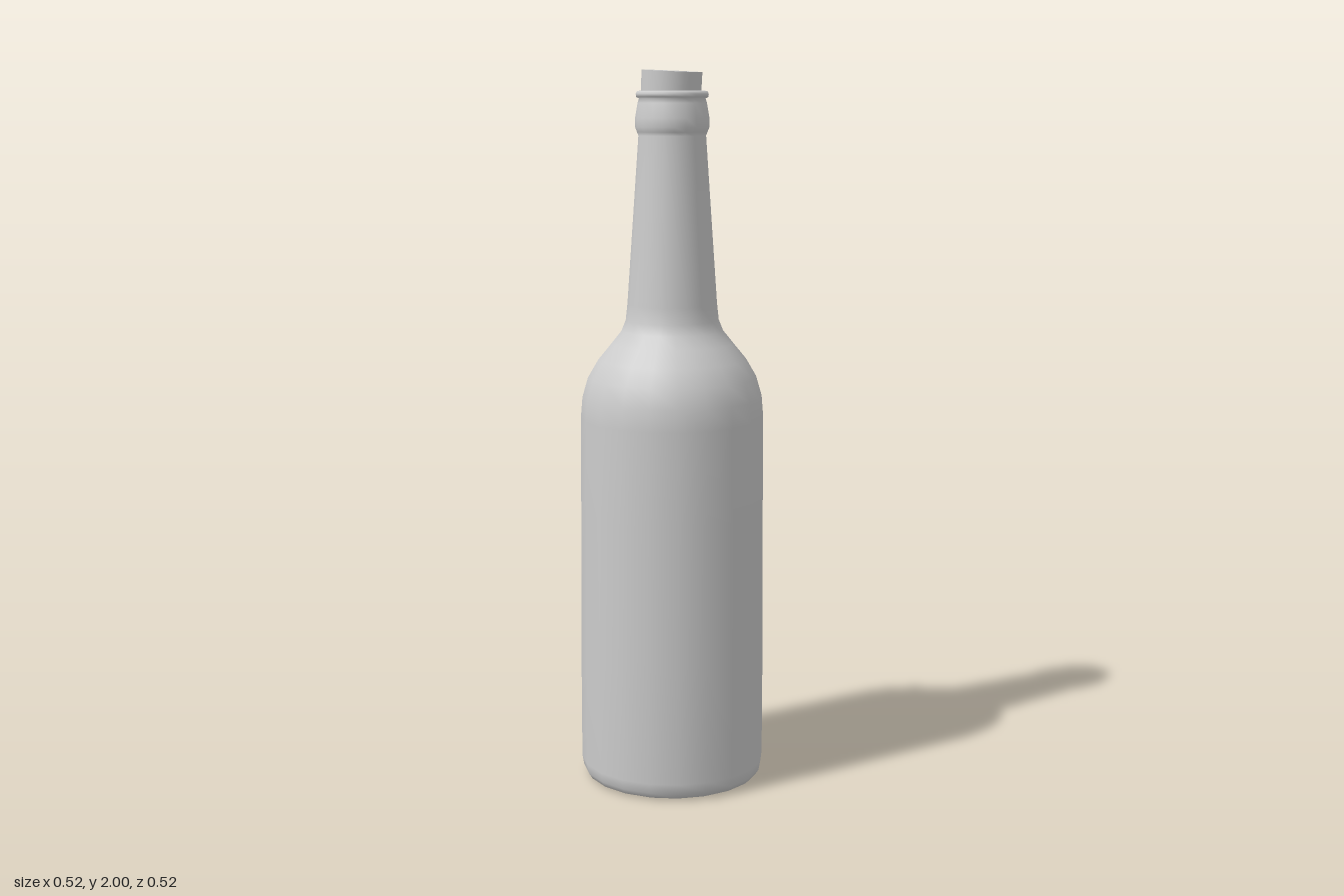
import * as THREE from 'three';

const SIDES = 20;

export function createModel() {
  const group = new THREE.Group();
  group.name = 'bottle';
  const material = new THREE.MeshStandardMaterial({ color: 0xcccccc });

  // Glass: one revolved profile [radius, height], from the punt under the base up to the mouth
  const profile = [
    [0, 0.06], [0.08, 0.055], [0.15, 0.04], [0.2, 0.015], [0.22, 0.002], // hollow base
    [0.232, 0], [0.246, 0.006], [0.256, 0.022], [0.261, 0.05],           // rounded foot
    [0.261, 0.39], [0.258, 0.78], [0.257, 1.04],                         // body
    [0.252, 1.1], [0.236, 1.155], [0.207, 1.205], [0.17, 1.25], [0.142, 1.285], // shoulder
    [0.13, 1.315], [0.125, 1.36], [0.109, 1.59], [0.093, 1.822],         // neck
    [0.097, 1.832], [0.102, 1.845], [0.102, 1.87], [0.095, 1.91], [0.091, 1.922], // collar
    [0.099, 1.926], [0.1, 1.934], [0.097, 1.941], [0.089, 1.943],        // lip ring
    [0.083, 1.938], [0.08, 1.9],                                         // inside of the mouth
  ];
  const glass = new THREE.Mesh(
    new THREE.LatheGeometry(profile.map(([r, y]) => new THREE.Vector2(r, y)), SIDES),
    material
  );
  glass.name = 'glassBody';
  group.add(glass);

  // Cork, pushed in with a slight tilt
  const corkHeight = 0.11;
  const corkGeometry = new THREE.CylinderGeometry(0.083, 0.082, corkHeight, 32);
  corkGeometry.translate(0, -corkHeight / 2, 0);
  const cork = new THREE.Mesh(corkGeometry, material);
  cork.name = 'cork';
  cork.position.set(-0.001, 1.996, 0);
  cork.rotation.z = -0.05;
  group.add(cork);

  return group;
}
